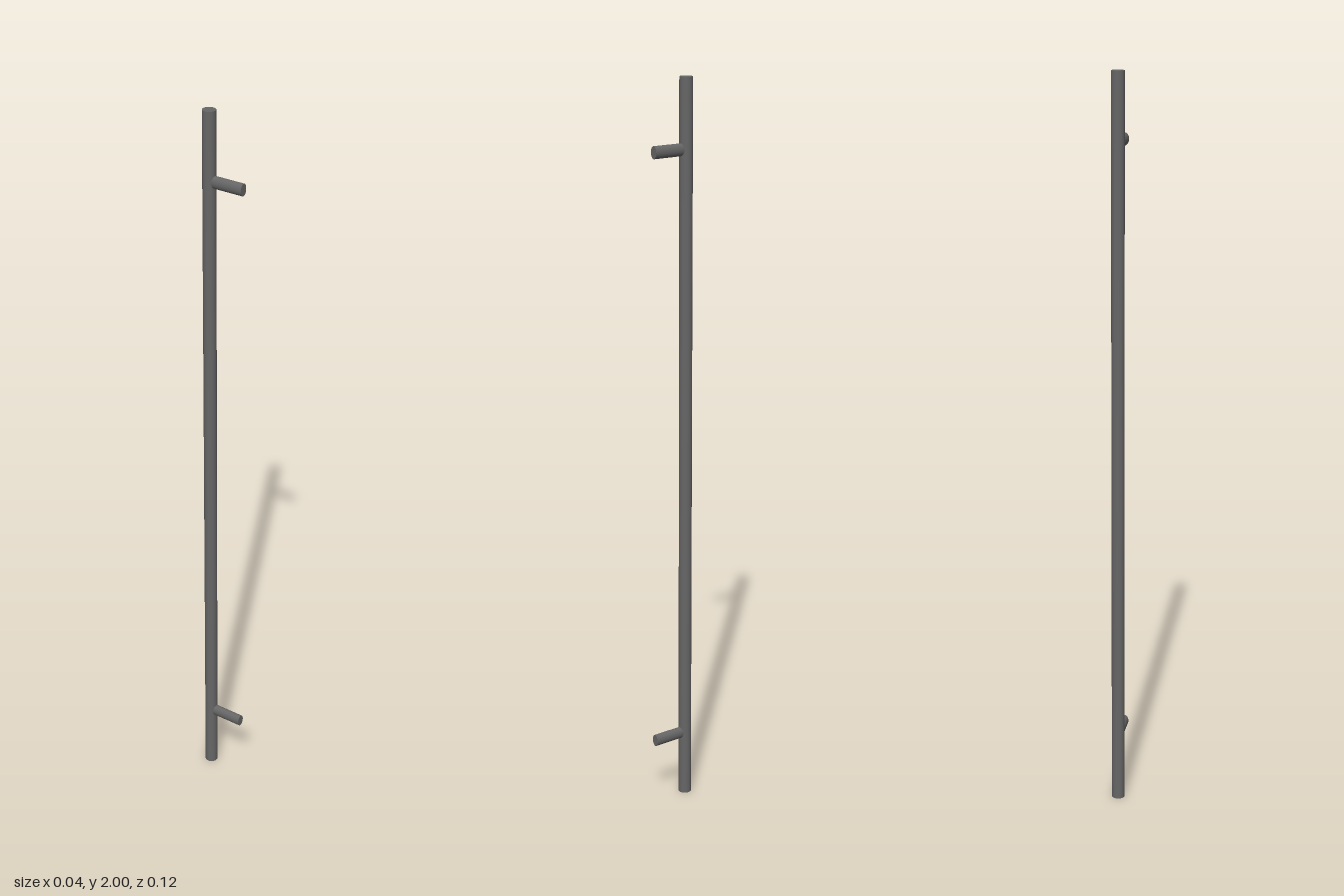
import * as THREE from 'three';

const BAR_RADIUS = 0.0175;
const BAR_Z = -0.0425;
const POST_END_Z = 0.06;

export function createModel() {
  const model = new THREE.Group();
  model.name = 'pullHandle';
  const metal = new THREE.MeshStandardMaterial({ color: 0x666666 });

  // Long round grip bar
  const bar = new THREE.Mesh(new THREE.CylinderGeometry(BAR_RADIUS, BAR_RADIUS, 2, 48), metal);
  bar.name = 'gripBar';
  bar.position.set(0, 1, BAR_Z);
  model.add(bar);

  // Oval mounting posts, taller than wide, running from inside the bar to the door side
  const startZ = BAR_Z + 0.008;
  const length = POST_END_Z - startZ;
  const postGeometry = new THREE.CylinderGeometry(1, 1, length, 40);
  postGeometry.rotateX(Math.PI / 2);
  postGeometry.scale(0.0115, 0.0165, 1);
  for (const [name, y] of [['lowerPost', 0.184], ['upperPost', 1.816]]) {
    const post = new THREE.Mesh(postGeometry, metal);
    post.name = name;
    post.position.set(0, y, startZ + length / 2);
    model.add(post);
  }
  return model;
}
